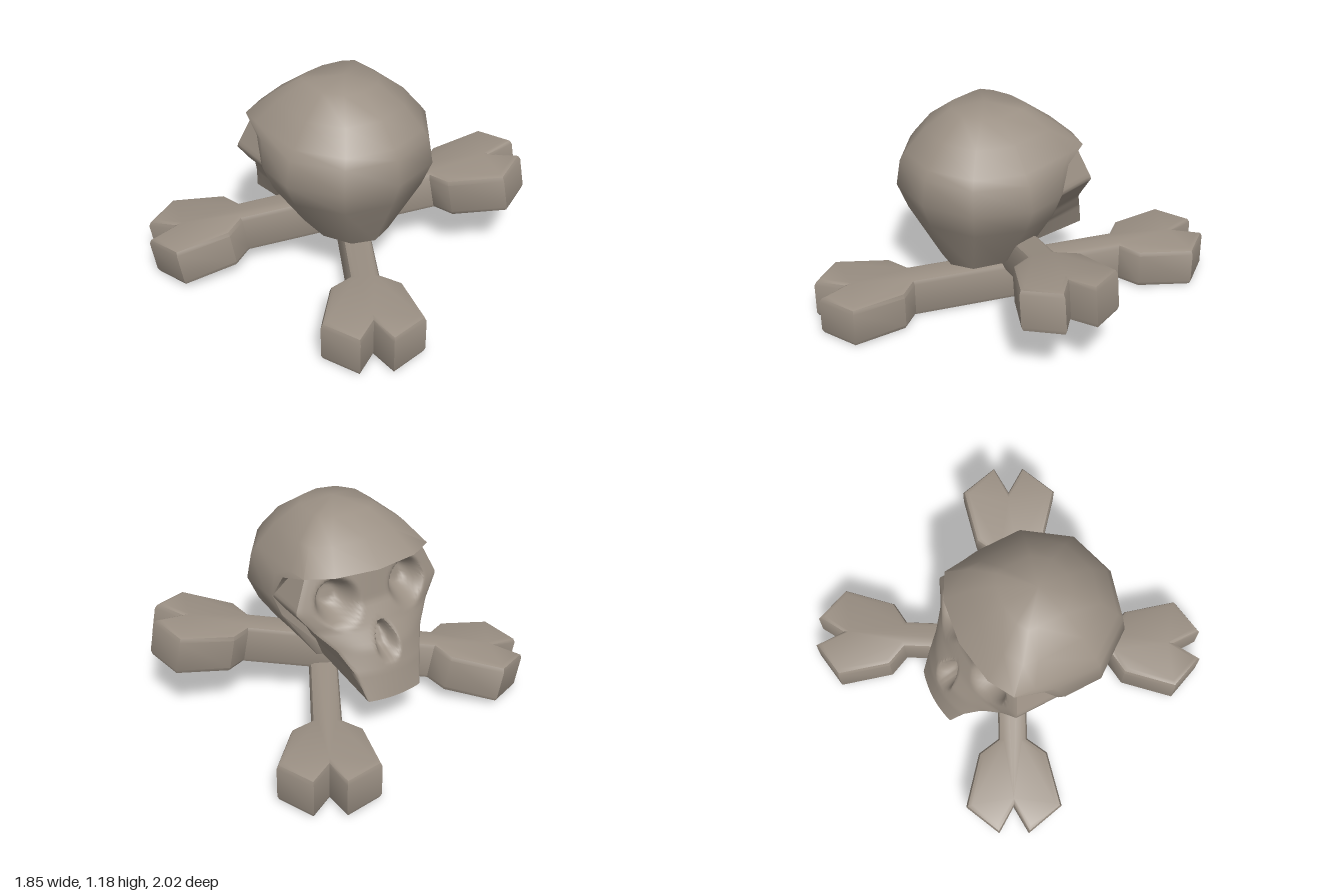
import * as THREE from 'three';
import { toCreasedNormals } from 'three/addons/utils/BufferGeometryUtils.js';

const boneMat = new THREE.MeshStandardMaterial({ color: 0x9b9084 });
boneMat.name = 'weathered bone';

function indexed(pos, idx, crease) {
  const g = new THREE.BufferGeometry();
  g.setAttribute('position', new THREE.Float32BufferAttribute(pos, 3));
  g.setIndex(idx);
  return toCreasedNormals(g, crease);
}

function part(name, geometry) {
  const m = new THREE.Mesh(geometry, boneMat);
  m.name = name;
  return m;
}

// Flat bevelled bone with a notched knob at each end; tip is the distance to the notch
function boneGeometry(tip) {
  const knob = [[-0.375, 0.08], [-0.295, 0.19], [0, 0.265], [0.145, 0.083]]
    .map(([a, b]) => [a + tip, b]);
  const right = [...knob, [tip, 0], ...knob.map(([a, b]) => [a, -b]).reverse()];
  const outline = [...right, ...right.map(([a, b]) => [-a, -b])];
  const shape = new THREE.Shape(outline.map(([a, b]) => new THREE.Vector2(a, b)));
  const bevel = 0.03, thick = 0.235;
  const g = new THREE.ExtrudeGeometry(shape, {
    depth: thick - 2 * bevel, bevelThickness: bevel, bevelSize: bevel,
    bevelOffset: -bevel, bevelSegments: 2,
  });
  g.translate(0, 0, bevel - thick / 2);
  g.rotateX(-Math.PI / 2);
  return toCreasedNormals(g, 0.75);
}

// Braincase: twelve-sided rings, overhanging the face at the brow
function craniumGeometry() {
  const half = [[0, -1], [0.61, -0.83], [1, -0.3], [1, 0.5], [0.97, 0.75], [0.62, 0.92], [0, 1]];
  const ring = [...half, ...half.slice(1, -1).reverse().map(([x, z]) => [-x, z])];
  const mid = -0.15;
  const levels = [ // y, half width, back z, front z
    [1.18, 0, mid, mid], [1.15, 0.18, -0.32, 0.05], [1.05, 0.31, -0.47, 0.18],
    [0.93, 0.405, -0.57, 0.31], [0.88, 0.44, -0.6, 0.1], [0.74, 0.465, -0.62, 0],
    [0.6, 0.405, -0.57, 0], [0.3, 0.2, -0.43, 0.05], [0.31, 0, mid, mid],
  ];
  const pos = [], idx = [], n = ring.length;
  for (const [y, w, back, front] of levels)
    for (const [x, z] of ring)
      pos.push(x * w, y, mid + z * (z < 0 ? mid - back : front - mid));
  for (let r = 0; r < levels.length - 1; r++)
    for (let i = 0; i < n; i++) {
      const j = (i + 1) % n, a = r * n, b = a + n;
      idx.push(a + j, b + j, b + i, a + j, b + i, a + i);
    }
  return indexed(pos, idx, 0.85);
}

// Depth factor of a rounded hollow
function hollow(dx, dy) {
  const d = Math.max(0, 1 - Math.hypot(dx, dy));
  return THREE.MathUtils.smoothstep(d, 0, 0.65);
}

// Face: sides and front swept down to the jaw, with eye and nose hollows pressed in
function faceGeometry() {
  const levels = [ // y, half width, front z, front curvature
    [0.92, 0.37, 0.25, 0.08], [0.74, 0.45, 0.28, 0.07], [0.62, 0.36, 0.35, 0.1],
    [0.52, 0.27, 0.42, 0.09], [0.4, 0.21, 0.465, 0.05], [0.25, 0.17, 0.505, 0.025],
  ];
  const rows = 36, cols = 72, edge = 0.72, back = -0.12, pos = [], idx = [];
  for (let r = 0; r <= rows; r++) {
    const y = THREE.MathUtils.lerp(0.92, 0.25, r / rows);
    let k = 0;
    while (k < levels.length - 2 && y < levels[k + 1][0]) k++;
    const t = (levels[k][0] - y) / (levels[k][0] - levels[k + 1][0]);
    const [w, front, curve] = [1, 2, 3].map((i) => THREE.MathUtils.lerp(levels[k][i], levels[k + 1][i], t));
    for (let c = 0; c <= cols; c++) {
      const u = -1 + 2 * c / cols, s = Math.abs(u);
      const x = Math.sign(u) * w * Math.min(1, s / edge);
      let z = front - curve * (x / w) ** 2;
      if (s > edge) z = THREE.MathUtils.lerp(z, back, (s - edge) / (1 - edge));
      else {
        z -= 0.13 * hollow((Math.abs(x) - 0.22) / 0.135, (y - 0.77) / 0.14);
        z -= 0.1 * hollow(x / (0.05 + 0.25 * Math.max(0, 0.64 - y)), (y - 0.54) / 0.11);
      }
      // underside rises toward the back
      const lift = 0.12 * (front - z) * Math.max(0, r / rows - 0.7) / 0.3;
      pos.push(x, y + (s > edge ? lift : 0), z);
    }
  }
  const n = cols + 1;
  for (let r = 0; r < rows; r++)
    for (let c = 0; c < cols; c++) {
      const a = r * n + c, b = a + n;
      idx.push(a, b, b + 1, a, b + 1, a + 1);
    }
  // jaw underside
  for (let c = 0; c < cols / 2; c++) {
    const i = rows * n + c, j = rows * n + cols - c;
    idx.push(i, j, i + 1);
    if (j - 1 > i + 1) idx.push(j, j - 1, i + 1);
  }
  return indexed(pos, idx, 0.9);
}

export function createModel() {
  const model = new THREE.Group();
  model.name = 'skull and crossed bones';

  const skull = new THREE.Group();
  skull.name = 'skull';
  skull.add(part('cranium', craniumGeometry()), part('face', faceGeometry()));
  skull.position.set(-0.04, 0, 0.074);
  skull.rotation.y = -2 * Math.PI / 3;

  const lower = part('lowerBone', boneGeometry(0.975));
  lower.position.set(0.065, 0.1185, -0.01);
  lower.rotation.y = -Math.PI / 3;

  // Upper bone leans across the lower one
  const upper = part('upperBone', boneGeometry(0.905));
  upper.position.set(0, 0.29, 0.05);
  upper.rotation.set(0, 0.576, 0.166);

  model.add(skull, lower, upper);
  return model;
}
